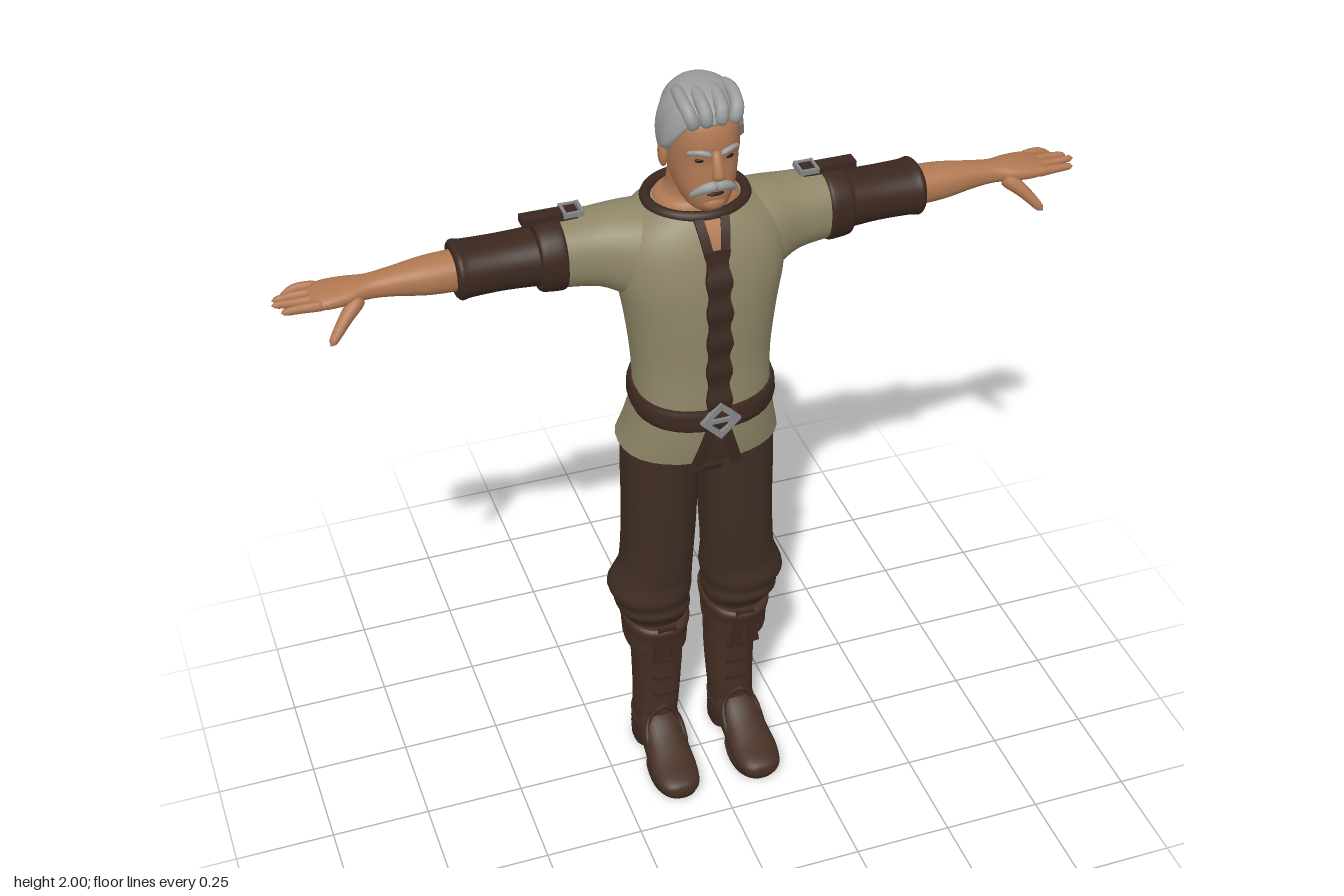
import * as THREE from 'three';

const mat = (name, color) => Object.assign(new THREE.MeshStandardMaterial({ color }), { name });

// Closed-loop surface: fn(angle, v) gives a point; optional flat end caps
function grid(nu, nv, fn, caps = true) {
  const pos = [], idx = [];
  const ring = (v) => {
    for (let j = 0; j < nu; j++) pos.push(...fn((j / nu) * Math.PI * 2, v));
  };
  for (let i = 0; i <= nv; i++) ring(i / nv);
  for (let i = 0; i < nv; i++) for (let j = 0; j < nu; j++) {
    const k = (j + 1) % nu, a = i * nu + j, b = a + nu, c = i * nu + k, d = c + nu;
    idx.push(a, b, c, b, d, c);
  }
  if (caps) for (const v of [0, 1]) {
    const s = pos.length / 3, m = [0, 0, 0];
    ring(v);
    for (let j = 0; j < nu; j++) for (let k = 0; k < 3; k++) m[k] += pos[(s + j) * 3 + k] / nu;
    pos.push(...m);
    for (let j = 0; j < nu; j++) {
      const p = s + j, q = s + ((j + 1) % nu);
      idx.push(s + nu, v ? q : p, v ? p : q);
    }
  }
  const g = new THREE.BufferGeometry();
  g.setAttribute('position', new THREE.Float32BufferAttribute(pos, 3));
  g.setIndex(idx);
  g.computeVertexNormals();
  return g;
}

// Smoothly interpolated row of a cross-section table
function sample(rows, v) {
  const f = v * (rows.length - 1), i = Math.min(Math.floor(f), rows.length - 2), t = f - i;
  const at = (k) => rows[Math.max(0, Math.min(rows.length - 1, k))];
  return rows[i].map((p1, c) => {
    const p0 = at(i - 1)[c], p2 = at(i + 1)[c], p3 = at(i + 2)[c];
    return p1 + 0.5 * t * (p2 - p0 + t * (2 * p0 - 5 * p1 + 4 * p2 - p3 + t * (3 * (p1 - p2) + p3 - p0)));
  });
}

// Rows: y axis [y, cx, cz, rx, rz], x axis [x, cz, cy, rz, ry], z axis [z, cy, cx, ry, rx]
function loft(rows, { axis = 'y', power = 2.3, tilt = 0, sides = 32 } = {}) {
  const bend = (c) => Math.sign(c) * Math.pow(Math.abs(c), 2 / power);
  return grid(sides, (rows.length - 1) * 4, (ang, v) => {
    const [t, ca, cb, ra, rb] = sample(rows, v);
    const a = ca + ra * bend(Math.cos(ang)), b = cb + rb * bend(Math.sin(ang));
    if (axis === 'x') return [t, b, a];
    if (axis === 'z') return [b, a, t];
    return [a, t + tilt * (b - cb), b];
  });
}

// Rounded strand along a path, thickness r0 to r1
function strand(points, r0, r1, flat = 1) {
  const curve = new THREE.CatmullRomCurve3(points.map((p) => new THREE.Vector3(...p)));
  const n = 14, fr = curve.computeFrenetFrames(n);
  return grid(10, n, (a, v) => {
    const i = Math.round(v * n), r = (r0 + (r1 - r0) * v) * Math.sqrt(Math.max(0, 1 - Math.pow(2 * v - 1, 8)));
    return curve.getPointAt(v).addScaledVector(fr.normals[i], r * Math.cos(a))
      .addScaledVector(fr.binormals[i], -r * flat * Math.sin(a)).toArray();
  }, false);
}

const ball = (x, y, z, rx, ry, rz) => new THREE.SphereGeometry(1, 18, 12).scale(rx, ry, rz).translate(x, y, z);
const box = (x, y, z, w, h, d) => new THREE.BoxGeometry(w, h, d).translate(x, y, z);

function mirrored(g) {
  const m = g.clone().scale(-1, 1, 1), i = m.index;
  for (let k = 0; k < i.count; k += 3) {
    const b = i.getX(k + 1);
    i.setX(k + 1, i.getX(k + 2));
    i.setX(k + 2, b);
  }
  return m;
}

export function createModel() {
  const root = new THREE.Group();
  root.name = 'man';
  const tunic = mat('tunic cloth', 0x8f8768), trousers = mat('trouser cloth', 0x3f2d24),
    leather = mat('dark leather', 0x3b281f), boots = mat('boot leather', 0x452f23),
    skin = mat('skin', 0xb07852), hair = mat('grey hair', 0x9b9d9d),
    metal = mat('metal', 0x858688), dark = mat('eye', 0x241a16);
  const add = (name, g, m) => {
    const mesh = new THREE.Mesh(g, m);
    mesh.name = name;
    root.add(mesh);
  };
  const pair = (name, g, m) => {
    add(name + 'Left', g, m);
    add(name + 'Right', mirrored(g), m);
  };

  // Tunic body
  const body = [[1.04, 0, -0.035, 0.198, 0.148], [1.1, 0, -0.018, 0.183, 0.14], [1.2, 0, 0, 0.166, 0.128],
    [1.3, 0, -0.005, 0.166, 0.13], [1.42, 0, -0.008, 0.18, 0.137], [1.52, 0, -0.012, 0.198, 0.138],
    [1.6, 0, -0.022, 0.198, 0.134], [1.655, 0, -0.032, 0.17, 0.123], [1.695, 0, -0.036, 0.115, 0.1]];
  add('tunic', loft(body), tunic);
  const frontZ = (y) => {
    let lo = 0, hi = 1;
    for (let k = 0; k < 24; k++) sample(body, (lo + hi) / 2)[0] < y ? (lo = (lo + hi) / 2) : (hi = (lo + hi) / 2);
    const r = sample(body, lo);
    return r[2] + r[4];
  };
  // Thin strip that follows the tunic front
  const strip = (y0, y1, halfAt, xAt, lift) => {
    const g = new THREE.BoxGeometry(2, y1 - y0, 0.014, 2, 30, 1).translate(0, (y0 + y1) / 2, 0), p = g.attributes.position;
    for (let i = 0; i < p.count; i++) {
      const y = p.getY(i);
      p.setXYZ(i, xAt(y) + p.getX(i) * halfAt(y), y, p.getZ(i) + frontZ(y) + lift(y));
    }
    g.computeVertexNormals();
    return g;
  };
  const wave = (y) => Math.sin(y * 78);
  add('frontPlacket', strip(1.2, 1.625, (y) => 0.028 + 0.003 * wave(y), () => 0, (y) => 0.003 + 0.004 * wave(y)), leather);
  add('openNeck', strip(1.61, 1.685, (y) => 0.006 + 0.3 * (y - 1.61), () => 0, () => 0), skin);
  pair('neckTrim', strip(1.605, 1.69, () => 0.011, (y) => 0.017 + 0.16 * (y - 1.605), () => 0.002), leather);
  pair('hemTrim', strip(1.025, 1.16, () => 0.013, (y) => 0.012 + 0.3 * (1.16 - y), () => 0.002), leather);
  add('hemOpening', strip(1.03, 1.16, (y) => 0.002 + 0.28 * (1.16 - y), () => 0, () => -0.003), trousers);
  const collar = [];
  for (let k = 0; k < 20; k++) {
    const a = (k / 20) * Math.PI * 2;
    collar.push(new THREE.Vector3(0.116 * Math.cos(a), 1.693 - 0.004 * Math.sin(a), -0.036 + 0.1 * Math.sin(a)));
  }
  add('collar', new THREE.TubeGeometry(new THREE.CatmullRomCurve3(collar, true), 48, 0.013, 8, true), leather);

  // Belt and diamond buckle
  add('belt', loft([[1.168, 0, 0, 0.172, 0.137], [1.182, 0, 0, 0.177, 0.141], [1.208, 0, 0, 0.176, 0.14],
    [1.222, 0, 0, 0.171, 0.136]], { tilt: -0.15 }), leather);
  const diamond = (P, r) => [[r, 0], [0, r], [-r, 0], [0, -r]].reduce((s, p, i) => (s[i ? 'lineTo' : 'moveTo'](...p), s), new P());
  const frame = diamond(THREE.Shape, 0.05);
  frame.holes.push(diamond(THREE.Path, 0.032));
  add('buckle', new THREE.ExtrudeGeometry(frame, { depth: 0.014, bevelEnabled: false }).translate(0, 1.178, 0.135), metal);
  add('buckleBar', box(0, 1.178, 0.143, 0.07, 0.01, 0.008), metal);

  // Arms
  const x = { axis: 'x' };
  pair('sleeve', loft([[0.05, -0.035, 1.575, 0.11, 0.11], [0.16, -0.045, 1.575, 0.105, 0.109],
    [0.24, -0.06, 1.585, 0.088, 0.088], [0.34, -0.065, 1.588, 0.08, 0.08]], x), tunic);
  pair('sleeveBand', loft([[0.315, -0.065, 1.588, 0.083, 0.083], [0.325, -0.065, 1.588, 0.087, 0.087],
    [0.365, -0.066, 1.588, 0.085, 0.084], [0.375, -0.066, 1.588, 0.08, 0.079]], x), leather);
  pair('shoulderStrap', box(0.335, 1.678, -0.07, 0.13, 0.018, 0.036), leather);
  for (const z of [-0.092, -0.048]) pair('strapBuckleSide', box(0.282, 1.684, z, 0.046, 0.012, 0.007), metal);
  for (const s of [0.262, 0.302]) pair('strapBuckleEnd', box(s, 1.684, -0.07, 0.007, 0.014, 0.05), metal);
  pair('underSleeve', loft([[0.36, -0.067, 1.583, 0.072, 0.064], [0.45, -0.07, 1.583, 0.069, 0.06],
    [0.53, -0.07, 1.583, 0.071, 0.061], [0.552, -0.07, 1.583, 0.073, 0.065], [0.562, -0.07, 1.583, 0.066, 0.058]], x), leather);
  pair('forearm', loft([[0.53, -0.07, 1.583, 0.05, 0.045], [0.62, -0.07, 1.583, 0.047, 0.042],
    [0.7, -0.068, 1.585, 0.036, 0.031], [0.755, -0.068, 1.584, 0.033, 0.025], [0.8, -0.07, 1.582, 0.046, 0.023],
    [0.85, -0.073, 1.579, 0.052, 0.02], [0.885, -0.075, 1.576, 0.047, 0.013]], x), skin);
  [[0.945, 1.555], [0.965, 1.575], [0.97, 1.582], [0.955, 1.578]].forEach(([tip, y], i) => {
    const z = -0.115 + i * 0.027;
    pair('finger', strand([[0.855, 1.578, z], [0.91, 1.578, z * 1.05], [tip, y, z * 1.08 + 0.003]], 0.0135, 0.008), skin);
  });
  pair('thumb', strand([[0.775, 1.578, -0.045], [0.815, 1.548, -0.018], [0.862, 1.498, 0.012]], 0.021, 0.01), skin);

  // Trousers
  add('trouserSeat', loft([[0.96, 0, -0.03, 0.1, 0.08], [1.02, 0, -0.03, 0.172, 0.106], [1.1, 0, -0.028, 0.175, 0.11]]), trousers);
  pair('trouserLeg', loft([[0.45, 0.11, -0.05, 0.07, 0.075], [0.485, 0.11, -0.05, 0.083, 0.086], [0.515, 0.116, -0.045, 0.094, 0.104],
    [0.54, 0.118, -0.045, 0.093, 0.102], [0.57, 0.123, -0.045, 0.104, 0.109], [0.61, 0.117, -0.04, 0.099, 0.099],
    [0.66, 0.108, -0.033, 0.09, 0.096], [0.8, 0.1, -0.03, 0.09, 0.1], [0.95, 0.097, -0.03, 0.092, 0.105],
    [1.08, 0.095, -0.03, 0.09, 0.108]], { tilt: 0.07 }), trousers);

  // Boots
  pair('bootCuff', loft([[0.385, 0.108, -0.055, 0.076, 0.09], [0.395, 0.108, -0.055, 0.08, 0.093], [0.44, 0.108, -0.056, 0.082, 0.099],
    [0.475, 0.108, -0.056, 0.087, 0.108], [0.487, 0.108, -0.056, 0.081, 0.1]], { tilt: -0.12 }), boots);
  for (const s of [-1, 1]) pair('cuffTab', box(0, 0, 0, 0.026, 0.11, 0.01).rotateZ(s * 0.14).translate(0.105 + s * 0.018, 0.425, 0.043), leather);
  pair('bootShaft', loft([[0.04, 0.108, -0.072, 0.054, 0.06], [0.12, 0.106, -0.066, 0.057, 0.066], [0.2, 0.102, -0.065, 0.06, 0.067],
    [0.3, 0.1, -0.065, 0.064, 0.071], [0.41, 0.102, -0.06, 0.068, 0.075]]), boots);
  pair('bootFoot', loft([[-0.134, 0.06, 0.108, 0.03, 0.034], [-0.1, 0.066, 0.108, 0.05, 0.054], [-0.02, 0.082, 0.108, 0.065, 0.056],
    [0.05, 0.058, 0.11, 0.048, 0.058], [0.11, 0.043, 0.112, 0.035, 0.061], [0.16, 0.036, 0.112, 0.027, 0.053],
    [0.182, 0.032, 0.112, 0.02, 0.036], [0.189, 0.03, 0.112, 0.008, 0.015]], { axis: 'z' }), boots);
  pair('sole', loft([[0.003, 0.11, 0.09, 0.058, 0.094], [0.022, 0.11, 0.09, 0.062, 0.099]], { tilt: 0.06 }), leather);
  pair('heel', loft([[0, 0.108, -0.085, 0.052, 0.05], [0.04, 0.108, -0.083, 0.054, 0.052]], { power: 3 }), leather);
  for (const y of [0.22, 0.28, 0.34]) pair('bootLace', box(0.1, y, 0.002 + (y - 0.22) * 0.06, 0.058, 0.012, 0.014), leather);
  pair('ankleStrap', loft([[0.086, 0.107, -0.064, 0.06, 0.07], [0.1, 0.107, -0.064, 0.061, 0.07]], { tilt: -0.25 }), leather);
  pair('instepSeam', strand([[0.055, 0.06, 0.06], [0.066, 0.13, 0.0], [0.106, 0.172, 0.003], [0.146, 0.13, 0.0], [0.162, 0.06, 0.06]], 0.007, 0.007), leather);

  // Neck and head
  add('neck', loft([[1.66, 0, -0.034, 0.105, 0.09], [1.7, 0, -0.034, 0.096, 0.083], [1.725, 0, -0.028, 0.07, 0.07],
    [1.8, 0, -0.02, 0.064, 0.07]]), skin);
  add('head', loft([[1.708, 0, 0.024, 0.032, 0.052], [1.725, 0, 0.026, 0.05, 0.068], [1.76, 0, 0.014, 0.066, 0.088],
    [1.8, 0, 0.004, 0.075, 0.097], [1.84, 0, 0, 0.08, 0.098], [1.88, 0, 0, 0.081, 0.103], [1.93, 0, -0.005, 0.079, 0.096],
    [1.97, 0, -0.01, 0.055, 0.065]]), skin);
  add('nose', strand([[0, 1.875, 0.098], [0, 1.845, 0.112], [0, 1.808, 0.122]], 0.01, 0.017), skin);
  add('chin', ball(0, 1.738, 0.084, 0.03, 0.02, 0.02), skin);
  add('lip', ball(0, 1.766, 0.1, 0.02, 0.005, 0.007), dark);
  pair('ear', ball(0.084, 1.825, -0.012, 0.011, 0.034, 0.02), skin);
  pair('eye', ball(0.032, 1.85, 0.09, 0.013, 0.006, 0.006), dark);
  pair('eyebrow', strand([[0.01, 1.864, 0.104], [0.035, 1.873, 0.1], [0.06, 1.866, 0.078]], 0.007, 0.005), hair);
  pair('moustache', strand([[-0.004, 1.79, 0.109], [0.024, 1.786, 0.105], [0.042, 1.772, 0.092], [0.052, 1.755, 0.076]], 0.013, 0.006), hair);

  // Hair: shell with a high front hairline, low nape and wavy locks
  add('hair', grid(56, 20, (a, v) => {
    const s = Math.sin(a), hem = s > 0 ? 1.84 + 0.085 * Math.min(1, 1.5 * s * s) : 1.84 + 0.065 * s;
    const lat0 = Math.asin((hem - 1.88) / 0.118), lat = lat0 + (Math.PI / 2 - lat0) * v;
    let r = lat < 0 ? 1 - 0.25 * Math.sin(lat) ** 2 : Math.pow(Math.max(0, Math.cos(lat)), 0.72);
    r *= (1 + 0.03 * Math.sin(9 * a + 7 * v) * (1 - v)) * (v === 0 ? 0.88 : 1);
    return [0.096 * r * Math.cos(a), 1.88 + 0.118 * Math.sin(lat), -0.004 + 0.106 * r * s];
  }, false), hair);
  for (const k of [-0.055, -0.02, 0.018, 0.052])
    add('frontLock', strand([[k * 0.8, 1.925, 0.088], [k, 1.96, 0.09], [k * 1.1, 1.981, 0.05], [k, 1.98, -0.01]], 0.016, 0.014), hair);
  return root;
}
